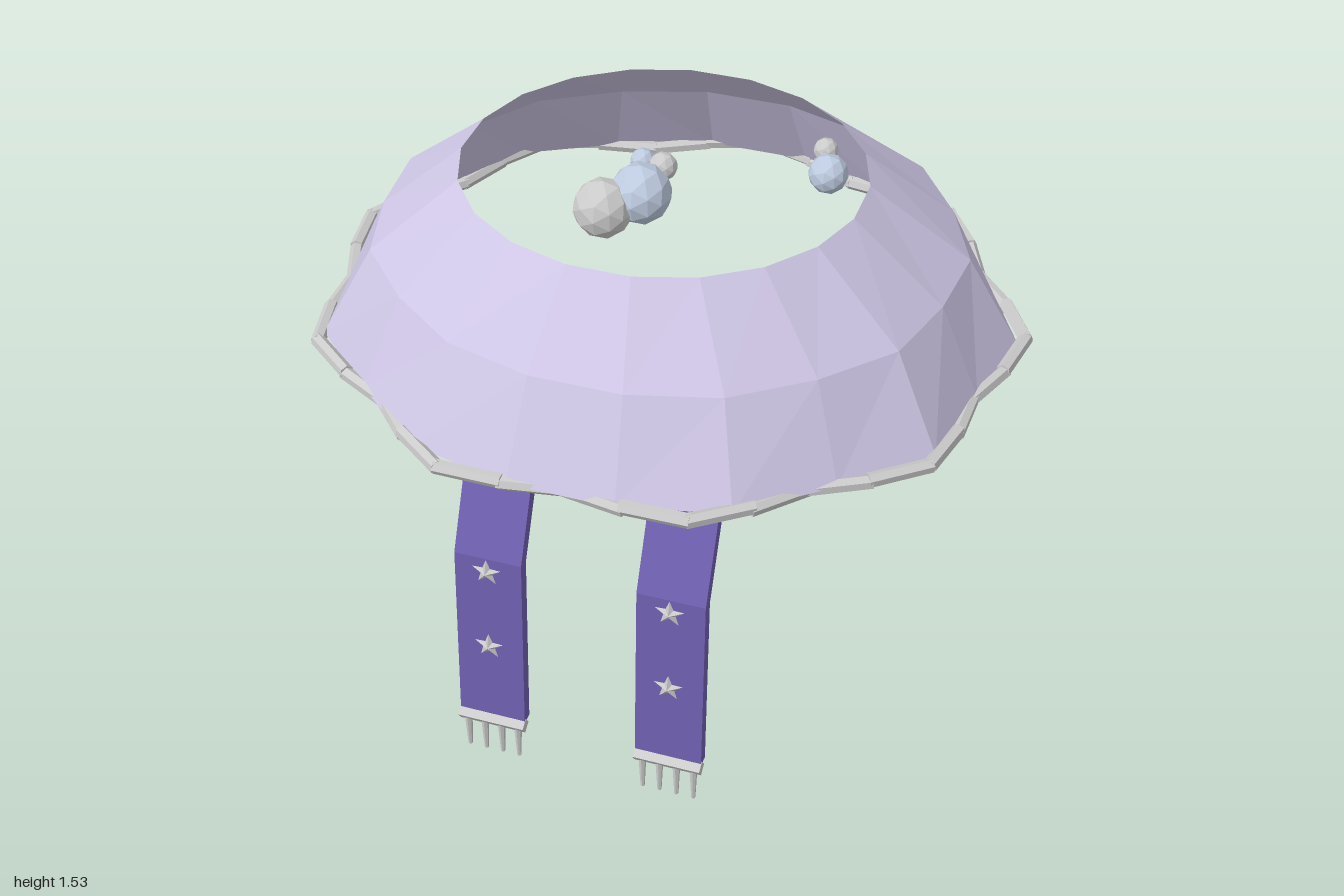
import * as THREE from 'three';

const mat = (color, extra = {}) => new THREE.MeshStandardMaterial({ color, flatShading: true, ...extra });
const GREY = mat(0xcccccc);
const PALE_BLUE = mat(0xbecbe0);
const PURPLE = mat(0x7060b0);
const LAVENDER = mat(0xcfc7e6, { side: THREE.DoubleSide });

function add(parent, name, geometry, material, x = 0, y = 0, z = 0) {
  const mesh = new THREE.Mesh(geometry, material);
  mesh.name = name;
  mesh.position.set(x, y, z);
  parent.add(mesh);
  return mesh;
}

// Point on an oval ring with nine scallops; angle 0 is the back
function ringPoint(t, { y, rx, rz, cz, wave }) {
  const w = wave * Math.cos(9 * t);
  return new THREE.Vector3(Math.sin(t) * (rx + w), y, cz - Math.cos(t) * (rz + w));
}

// Open faceted shell lofted from hem to neck
function shellGeometry() {
  const n = 20;
  const rings = [
    { y: 1.055, rx: 0.935, rz: 0.87, cz: 0.025, wave: 0.025 },
    { y: 1.31, rx: 0.805, rz: 0.74, cz: 0.025, wave: 0.01 },
    { y: 1.535, rx: 0.547, rz: 0.513, cz: 0.067, wave: 0 },
  ];
  const pos = [], index = [];
  rings.forEach((ring, j) => {
    for (let i = 0; i < n; i++) {
      pos.push(...ringPoint(((i + 0.5) / n) * Math.PI * 2, ring).toArray());
      if (j === rings.length - 1) continue;
      const a = j * n + i, b = j * n + ((i + 1) % n);
      index.push(b, a, a + n, b, a + n, b + n);
    }
  });
  const g = new THREE.BufferGeometry();
  g.setAttribute('position', new THREE.Float32BufferAttribute(pos, 3));
  g.setIndex(index);
  g.computeVertexNormals();
  return g;
}

// Five-pointed star with a raised centre on both sides
function starGeometry(radius, depth) {
  const pos = [];
  const corner = (i) => {
    const r = i % 2 ? radius * 0.42 : radius, a = (i * Math.PI) / 5;
    return [Math.sin(a) * r, Math.cos(a) * r, 0];
  };
  for (let i = 0; i < 10; i++) {
    pos.push(0, 0, depth, ...corner(i + 1), ...corner(i));
    pos.push(0, 0, -depth, ...corner(i), ...corner(i + 1));
  }
  const g = new THREE.BufferGeometry();
  g.setAttribute('position', new THREE.Float32BufferAttribute(pos, 3));
  g.computeVertexNormals();
  return g;
}

// Bent strap with stars, end bar and tassels
function createStrap(x) {
  const strap = new THREE.Group();
  strap.name = 'strap';
  strap.position.x = x;
  const width = 0.19;

  // side profile in (z, y), extruded across x
  const profile = new THREE.Shape([
    [0.505, 1.165], [0.735, 0.67], [0.763, 0.13], [0.798, 0.13], [0.77, 0.68], [0.54, 1.18],
  ].map(([z, y]) => new THREE.Vector2(z, y)));
  const band = new THREE.ExtrudeGeometry(profile, { depth: width, bevelEnabled: false });
  band.rotateY(-Math.PI / 2).translate(width / 2, 0, 0);
  add(strap, 'band', band, PURPLE);

  for (const [y, z] of [[0.935, 0.675], [0.645, 0.782], [0.39, 0.794]])
    add(strap, 'star', starGeometry(0.043, 0.014), GREY, 0, y, z);

  const bar = add(strap, 'endBar', new THREE.BoxGeometry(0.192, 0.032, 0.032), GREY, 0, 0.118, 0.796);
  bar.rotation.x = 0.6;
  for (let i = 0; i < 4; i++)
    add(strap, 'tassel', new THREE.CylinderGeometry(0.011, 0.006, 0.11, 6), GREY, (i - 1.5) * 0.049, 0.055, 0.797);
  return strap;
}

// Scalloped cord made of short straight pieces
function createHemTrim() {
  const trim = new THREE.Group();
  trim.name = 'hemTrim';
  const n = 36;
  const ring = { y: 1.055, rx: 0.94, rz: 0.87, cz: 0.02, wave: 0.04 };
  for (let i = 0; i < n; i++) {
    const a = ringPoint((i / n) * Math.PI * 2, ring);
    const b = ringPoint(((i + 1) / n) * Math.PI * 2, ring);
    const mid = a.clone().add(b).multiplyScalar(0.5);
    const piece = add(trim, 'hemPiece', new THREE.CylinderGeometry(0.02, 0.02, a.distanceTo(b) + 0.012, 6),
      GREY, mid.x, mid.y + 0.004 * Math.cos((i + 0.5) * Math.PI / 2), mid.z);
    piece.quaternion.setFromUnitVectors(new THREE.Vector3(0, 1, 0), b.sub(a).normalize());
  }
  return trim;
}

export function createModel() {
  const model = new THREE.Group();
  model.name = 'scallopedCape';

  add(model, 'capeShell', shellGeometry(), LAVENDER);
  model.add(createHemTrim());
  for (const side of [-1, 1]) model.add(createStrap(side * 0.256));

  // Loose bead clusters inside the neck opening
  const beads = [
    [-0.145, 1.42, 0.135, 0.083, GREY],
    [-0.06, 1.447, 0.075, 0.085, PALE_BLUE],
    [-0.035, 1.47, -0.035, 0.04, GREY],
    [-0.1, 1.46, -0.06, 0.036, PALE_BLUE],
    [0.37, 1.405, -0.24, 0.056, PALE_BLUE],
    [0.345, 1.44, -0.3, 0.035, GREY],
  ];
  for (const [x, y, z, r, m] of beads) add(model, 'bead', new THREE.IcosahedronGeometry(r, 1), m, x, y, z);

  // Clasp with a star behind the front of the cape
  const clasp = new THREE.Group();
  clasp.name = 'clasp';
  clasp.position.set(0, 1.225, 0.6);
  add(clasp, 'claspBead', new THREE.SphereGeometry(0.078, 10, 8), GREY);
  add(clasp, 'claspStar', starGeometry(0.1, 0.03), GREY, 0, 0, 0.045);
  model.add(clasp);

  return model;
}
